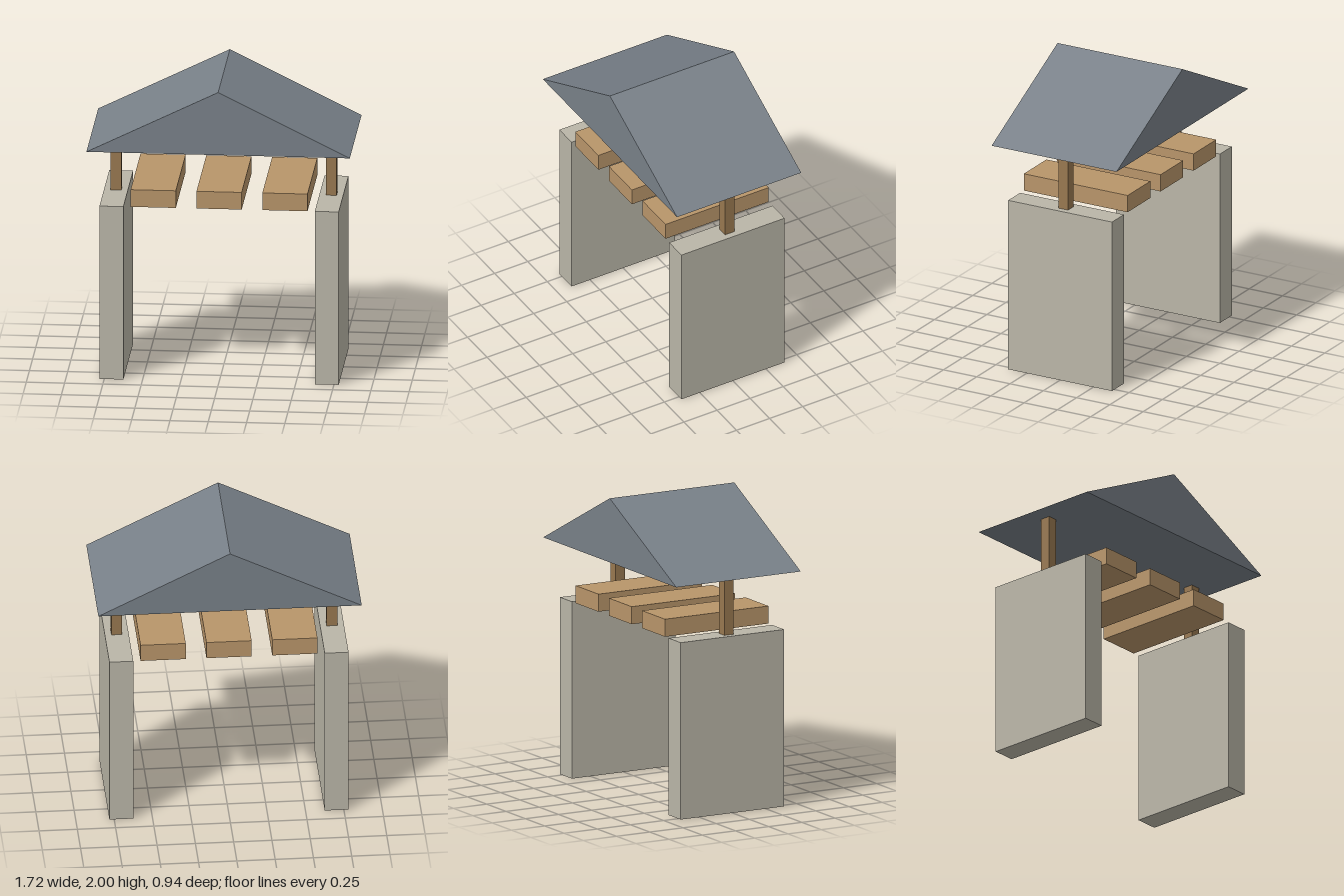
import * as THREE from 'three';

const mat = (color) => new THREE.MeshStandardMaterial({ color, flatShading: true });

export function createModel() {
  const model = new THREE.Group();
  const stone = mat(0xbab6a8), plankWood = mat(0xb8956a), postWood = mat(0x987850), slate = mat(0x788088);

  // Box standing on height y, centred on x and z = 0
  const box = (name, material, w, h, d, x, y) => {
    const mesh = new THREE.Mesh(new THREE.BoxGeometry(w, h, d), material);
    mesh.name = name;
    mesh.position.set(x, y + h / 2, 0);
    model.add(mesh);
  };

  // Side walls, each with a post carrying the roof
  for (const [side, s] of [['left', 1], ['right', -1]]) {
    box(side + 'Wall', stone, 0.156, 1.18, 0.78, s * 0.703, 0);
    box(side + 'Post', postWood, 0.07, 0.393, 0.07, s * 0.703, 1.18);
  }

  // Row of three planks between the walls
  for (let i = -1; i <= 1; i++) box('plank' + (i + 2), plankWood, 0.295, 0.117, 0.78, i * 0.43, 1.18);

  // Solid gable roof
  const gable = new THREE.Shape([
    new THREE.Vector2(-0.86, 1.573),
    new THREE.Vector2(0.86, 1.573),
    new THREE.Vector2(0, 2),
  ]);
  const roof = new THREE.Mesh(new THREE.ExtrudeGeometry(gable, { depth: 0.938, bevelEnabled: false }), slate);
  roof.name = 'roof';
  roof.position.z = -0.469;
  model.add(roof);

  return model;
}
